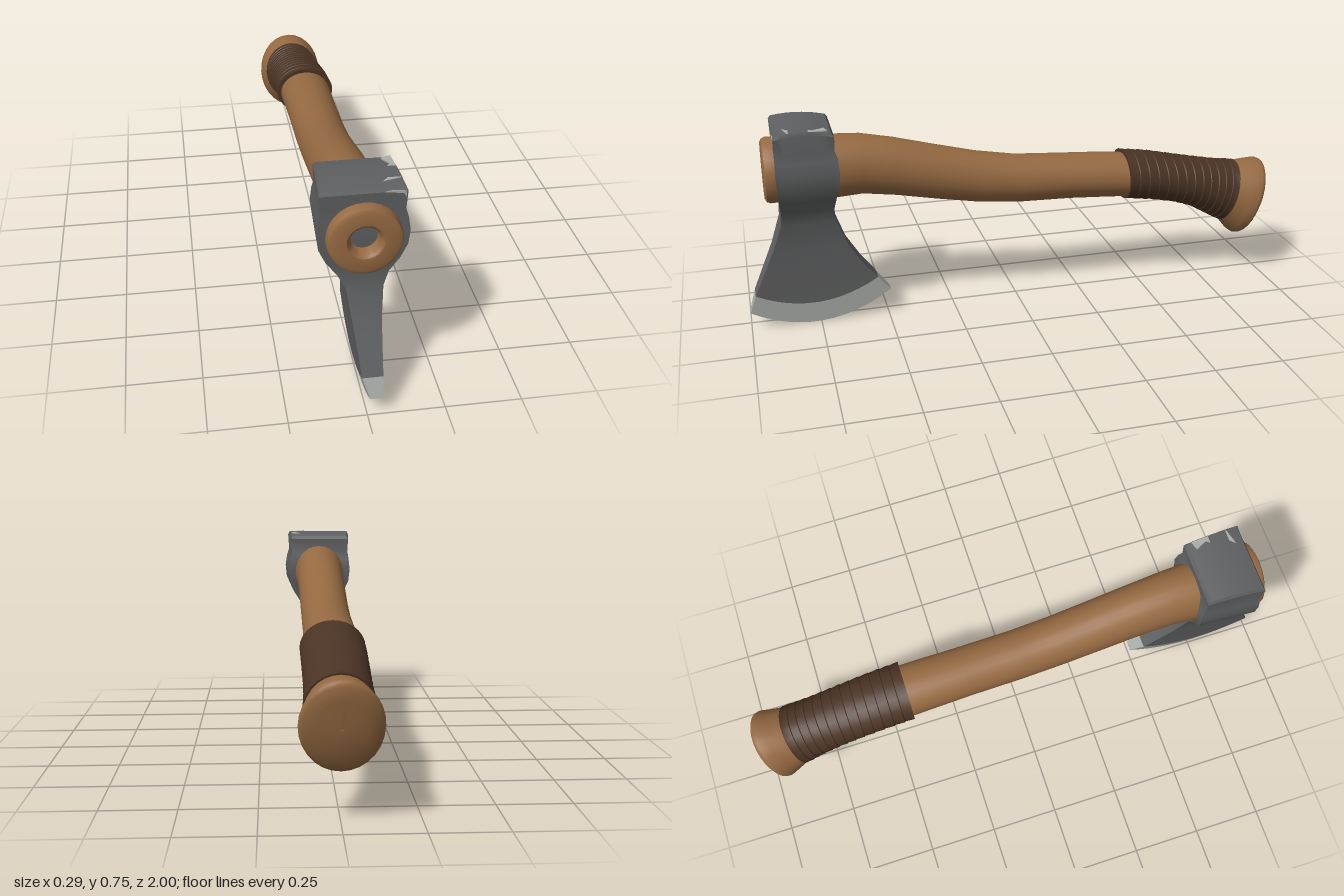
import * as THREE from 'three';
import { toCreasedNormals } from 'three/addons/utils/BufferGeometryUtils.js';

const mat = (name, color) => {
  const m = new THREE.MeshStandardMaterial({ color });
  m.name = name;
  return m;
};

// Skin closed rings of [x, y, z] points; optional flat end caps pair opposite points
function skin(rings, { flip = false, capStart = false, capEnd = false, crease = 0.6 } = {}) {
  const n = rings[0].length, pos = rings.flat(2), idx = [];
  const tri = (a, b, c) => (flip ? idx.push(a, b, c) : idx.push(a, c, b));
  for (let r = 0; r < rings.length - 1; r++) {
    for (let i = 0; i < n; i++) {
      const j = (i + 1) % n;
      const a = r * n + i, b = r * n + j, c = a + n, d = b + n;
      tri(a, b, c);
      tri(b, d, c);
    }
  }
  const cap = (base, end) => {
    for (let i = 0; i < n / 2 - 1; i++) {
      const a = base + i, b = a + 1, c = base + n - 1 - i, d = c - 1;
      if (end) idx.push(a, b, c, b, d, c);
      else idx.push(a, c, b, b, c, d);
    }
  };
  if (capStart) cap(0, false);
  if (capEnd) cap((rings.length - 1) * n, true);
  const g = new THREE.BufferGeometry();
  g.setAttribute('position', new THREE.Float32BufferAttribute(pos, 3));
  g.setIndex(idx);
  return toCreasedNormals(g, crease);
}

// Oval ring from a section: [zTop, yTop, zBottom, yBottom, halfWidth]
function oval([zt, yt, zb, yb, hw], scale = 1, n = 28) {
  return Array.from({ length: n }, (_, i) => {
    const a = (i / n) * Math.PI * 2, s = Math.sin(a) * scale;
    return [Math.cos(a) * hw * scale, (yt + yb) / 2 + (s * (yt - yb)) / 2, (zt + zb) / 2 + (s * (zt - zb)) / 2];
  });
}
const disc = (z, r) => [z, 0.59 + r, z, 0.59 - r, r];

// Section at t (0..1) along a list of key sections
function sampleSection(keys, t) {
  const f = t * (keys.length - 1), k = Math.min(Math.floor(f), keys.length - 2);
  return keys[k].map((v, i) => THREE.MathUtils.lerp(v, keys[k + 1][i], f - k));
}

// Head ring from a row: [yFront, yMiddle, yBack, zFront, zBack, xMin, xMax]
function headRing([yf, ym, yb, zf, zb, x0, x1], n = 12) {
  const right = [], left = [];
  for (let i = 0; i <= n; i++) {
    const t = i / n, taper = 0.92 + 0.08 * t, mid = (x0 + x1) / 2;
    const z = zb + (zf - zb) * t;
    const y = yb + (yf - yb) * t + (ym - (yf + yb) / 2) * 4 * t * (1 - t);
    right.push([mid + (x1 - mid) * taper, y, z]);
    left.unshift([mid + (x0 - mid) * taper, y, z]);
  }
  return [...right, ...left];
}
const level = (y, ...rest) => [y, y, y, ...rest];

export function createModel() {
  const wood = mat('wood', 0x966a42);
  const darkWood = mat('dark wood', 0x65472f);
  const leather = mat('dark leather', 0x4b3425);
  const steel = mat('dark steel', 0x5f6061);
  const bright = mat('bright steel', 0xa9ada9);

  const model = new THREE.Group();
  model.name = 'hatchet';
  const add = (name, geometry, material) => {
    const mesh = new THREE.Mesh(geometry, material);
    mesh.name = name;
    model.add(mesh);
    return mesh;
  };

  // Curved wooden handle, starting inside the hole in its front end
  const handle = [
    disc(0.868, 0.04), disc(0.905, 0.05), disc(0.912, 0.058), disc(0.914, 0.1), disc(0.908, 0.112),
    disc(0.895, 0.117), disc(0.86, 0.116),
    [0.66, 0.7, 0.66, 0.47, 0.102],
    [0.57, 0.695, 0.57, 0.475, 0.097],
    [0.45, 0.67, 0.45, 0.457, 0.094],
    [0.3, 0.63, 0.3, 0.427, 0.093],
    [0.15, 0.592, 0.15, 0.4, 0.092],
    [0, 0.565, 0, 0.385, 0.092],
    [-0.2, 0.551, -0.2, 0.38, 0.093],
    [-0.35, 0.541, -0.35, 0.371, 0.096],
    [-0.45, 0.53, -0.45, 0.364, 0.098],
  ];
  add('handle', skin(handle.map((s) => oval(s))), wood);

  // Sunken floor of the hole
  const floor = [disc(0.855, 0.0005), disc(0.869, 0.042)];
  add('handleHole', skin(floor.map((s) => oval(s))), darkWood);

  // Leather grip: overlapping bands that follow the bend of the handle
  const gripKeys = [
    [-0.42, 0.545, -0.42, 0.36, 0.11],
    [-0.52, 0.532, -0.52, 0.346, 0.109],
    [-0.62, 0.51, -0.62, 0.326, 0.108],
    [-0.72, 0.489, -0.7, 0.298, 0.107],
    [-0.81, 0.472, -0.77, 0.258, 0.108],
    [-0.89, 0.462, -0.825, 0.226, 0.113],
  ];
  const bands = 13, grip = [oval(gripKeys[0], 0.85)];
  for (let b = 0; b < bands; b++) {
    grip.push(oval(sampleSection(gripKeys, b / bands), 1.015));
    grip.push(oval(sampleSection(gripKeys, (b + 0.92) / bands), 0.99));
  }
  grip.push(oval(gripKeys[5], 1), oval(gripKeys[5], 0.85));
  add('gripWrap', skin(grip), leather);

  // Flared knob at the end of the handle
  const knob = [
    [-0.85, 0.45, -0.81, 0.25, 0.1],
    [-0.895, 0.458, -0.84, 0.215, 0.112],
    [-0.95, 0.462, -0.868, 0.18, 0.122],
    [-0.985, 0.463, -0.888, 0.164, 0.13],
    [-0.996, 0.458, -0.9, 0.165, 0.128],
    [-1.0, 0.445, -0.912, 0.178, 0.117],
    [-0.995, 0.4, -0.935, 0.225, 0.08],
    [-0.968, 0.31, -0.968, 0.309, 0.0005],
  ];
  add('handleKnob', skin(knob.map((s) => oval(s)), { crease: 0.9 }), wood);

  // Steel head: square poll, swelling around the handle, flaring blade
  const seam = [0.133, 0.082, 0.155, 0.977, 0.535, -0.015, 0.052];
  const head = [
    [0.748, 0.755, 0.742, 0.868, 0.677, -0.129, 0.124],
    [0.736, 0.741, 0.73, 0.875, 0.668, -0.136, 0.13],
    level(0.675, 0.873, 0.67, -0.132, 0.126),
    level(0.645, 0.873, 0.66, -0.138, 0.135),
    level(0.6, 0.875, 0.657, -0.143, 0.142),
    level(0.55, 0.873, 0.66, -0.137, 0.137),
    level(0.5, 0.87, 0.672, -0.114, 0.115),
    level(0.45, 0.865, 0.68, -0.078, 0.082),
    level(0.4, 0.868, 0.675, -0.052, 0.066),
    level(0.3, 0.903, 0.638, -0.036, 0.057),
    [0.21, 0.19, 0.22, 0.943, 0.587, -0.024, 0.054],
    seam,
  ];
  add('axeHead', skin(head.map((r) => headRing(r)), { flip: true, capStart: true, crease: 0.5 }), steel);

  // Ground cutting edge
  const edge = [seam, [0.066, 0.004, 0.1, 1.0, 0.49, 0.008, 0.049]];
  add('cuttingEdge', skin(edge.map((r) => headRing(r)), { flip: true, capEnd: true, crease: 0.4 }), bright);

  // Worn patches on the poll's corner
  const worn = (name, points, depth) => {
    const shape = new THREE.Shape(points.map(([x, y]) => new THREE.Vector2(x, y)));
    return add(name, new THREE.ExtrudeGeometry(shape, { depth, bevelEnabled: false }), bright);
  };
  const top = worn('wornTop', [[0.112, -0.69], [0.08, -0.7], [0.1, -0.74], [0.075, -0.775],
    [0.092, -0.805], [0.06, -0.84], [0.118, -0.825], [0.118, -0.76]], 0.004);
  top.rotation.x = -Math.PI / 2;
  top.position.y = 0.75;
  worn('wornFront', [[0.06, 0.737], [0.085, 0.741], [0.125, 0.737], [0.126, 0.715], [0.117, 0.729], [0.09, 0.733]], 0.003)
    .position.z = 0.873;

  return model;
}
